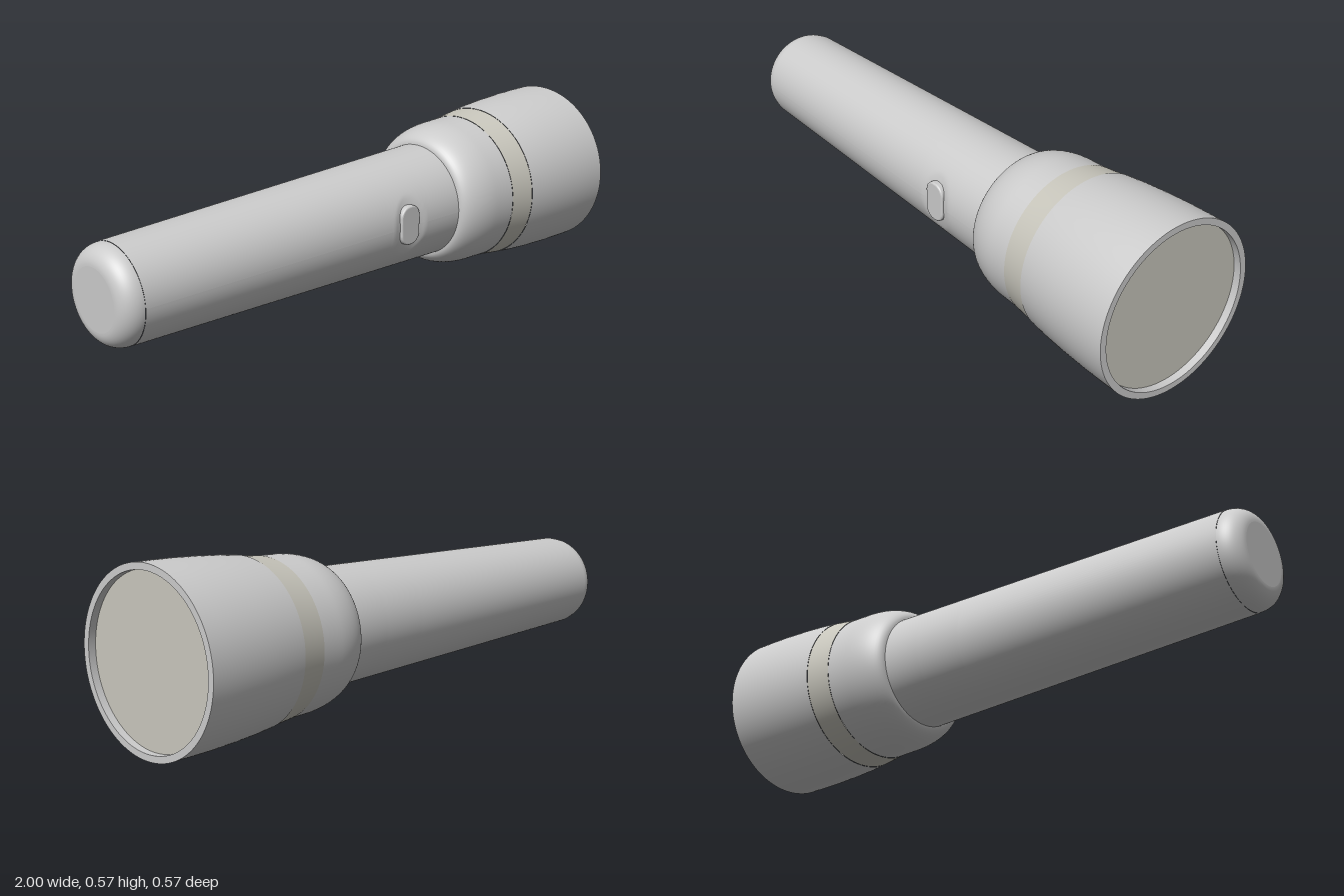
import * as THREE from 'three';

const AXIS_Y = 0.2865;
const grey = new THREE.MeshStandardMaterial({ color: 0xcccccc });
const warmGrey = new THREE.MeshStandardMaterial({ color: 0xc8c6bc });

// Turn [x, radius] pairs around the long axis; each call starts a crisp edge
function turned(name, profile, material = grey) {
  const points = profile.map(([x, r]) => new THREE.Vector2(r, x));
  const geometry = new THREE.LatheGeometry(points, 128);
  geometry.rotateZ(-Math.PI / 2);
  const mesh = new THREE.Mesh(geometry, material);
  mesh.name = name;
  return mesh;
}

// Quarter ellipse from (x0, r0) rising to (x1, r1), level at its end
function quarter(x0, r0, x1, r1, steps = 14) {
  return Array.from({ length: steps + 1 }, (_, i) => {
    const a = (i / steps) * Math.PI / 2;
    return [x1 - (x1 - x0) * Math.cos(a), r0 + (r1 - r0) * Math.sin(a)];
  });
}

// Tapered handle with a shallow thumb dimple around the switch
function makeHandle() {
  const radius = x => 0.16 + (x + 0.935) * 0.0265;
  const profile = [[-0.935, radius(-0.935)]];
  for (let x = 0.02; x < 0.205; x += 0.01) profile.push([x, radius(x)]);
  profile.push([0.335, radius(0.335)]);
  const handle = turned('handle', profile);
  const p = handle.geometry.attributes.position;
  for (let i = 0; i < p.count; i++) {
    if (p.getZ(i) < 0) continue;
    const d = Math.hypot((p.getX(i) - 0.11) / 0.07, p.getY(i) / 0.1);
    if (d < 1) p.setZ(i, p.getZ(i) - 0.01 * (1 - d * d));
  }
  handle.geometry.computeVertexNormals();
  return handle;
}

// Rounded push switch
function makeSwitch() {
  const w = 0.036, h = 0.061, r = 0.032;
  const s = new THREE.Shape();
  s.absarc(w - r, h - r, r, 0, Math.PI / 2);
  s.absarc(r - w, h - r, r, Math.PI / 2, Math.PI);
  s.absarc(r - w, r - h, r, Math.PI, Math.PI * 1.5);
  s.absarc(w - r, r - h, r, Math.PI * 1.5, Math.PI * 2);
  const geometry = new THREE.ExtrudeGeometry(s, {
    depth: 0.06, bevelThickness: 0.006, bevelSize: 0.006, bevelSegments: 4, curveSegments: 12,
  });
  const mesh = new THREE.Mesh(geometry, grey);
  mesh.name = 'switchButton';
  mesh.position.set(0.108, 0.005, 0.123);
  return mesh;
}

export function createModel() {
  const group = new THREE.Group();
  group.name = 'flashlight';
  const torch = new THREE.Group();
  torch.name = 'torch';
  torch.position.y = AXIS_Y;
  group.add(torch);

  // Tail cap: flat end and rounded shoulder
  torch.add(turned('tailEnd', [[-1, 0], [-1, 0.1]]));
  torch.add(turned('tailCap', quarter(-1, 0.1, -0.935, 0.159)));
  torch.add(makeHandle(), makeSwitch());

  // Bell-shaped neck, collar band and flared head
  torch.add(turned('neckStep', [[0.332, 0.18], [0.335, 0.194]]));
  torch.add(turned('neck', [...quarter(0.335, 0.194, 0.48, 0.252), [0.545, 0.254]]));
  torch.add(turned('collarBand', [[0.545, 0.255], [0.59, 0.26], [0.635, 0.266]], warmGrey));
  torch.add(turned('head', [
    [0.635, 0.267], [0.7, 0.274], [0.78, 0.28], [0.87, 0.2845], [0.94, 0.286], [1, 0.2865],
  ]));

  // Front rim, its inner wall and the recessed lens
  torch.add(turned('rim', [[1, 0.2865], [1, 0.265]]));
  torch.add(turned('rimInnerWall', [[1, 0.265], [0.975, 0.265]]));
  torch.add(turned('lens', [[0.975, 0.265], [0.975, 0]], warmGrey));
  return group;
}
